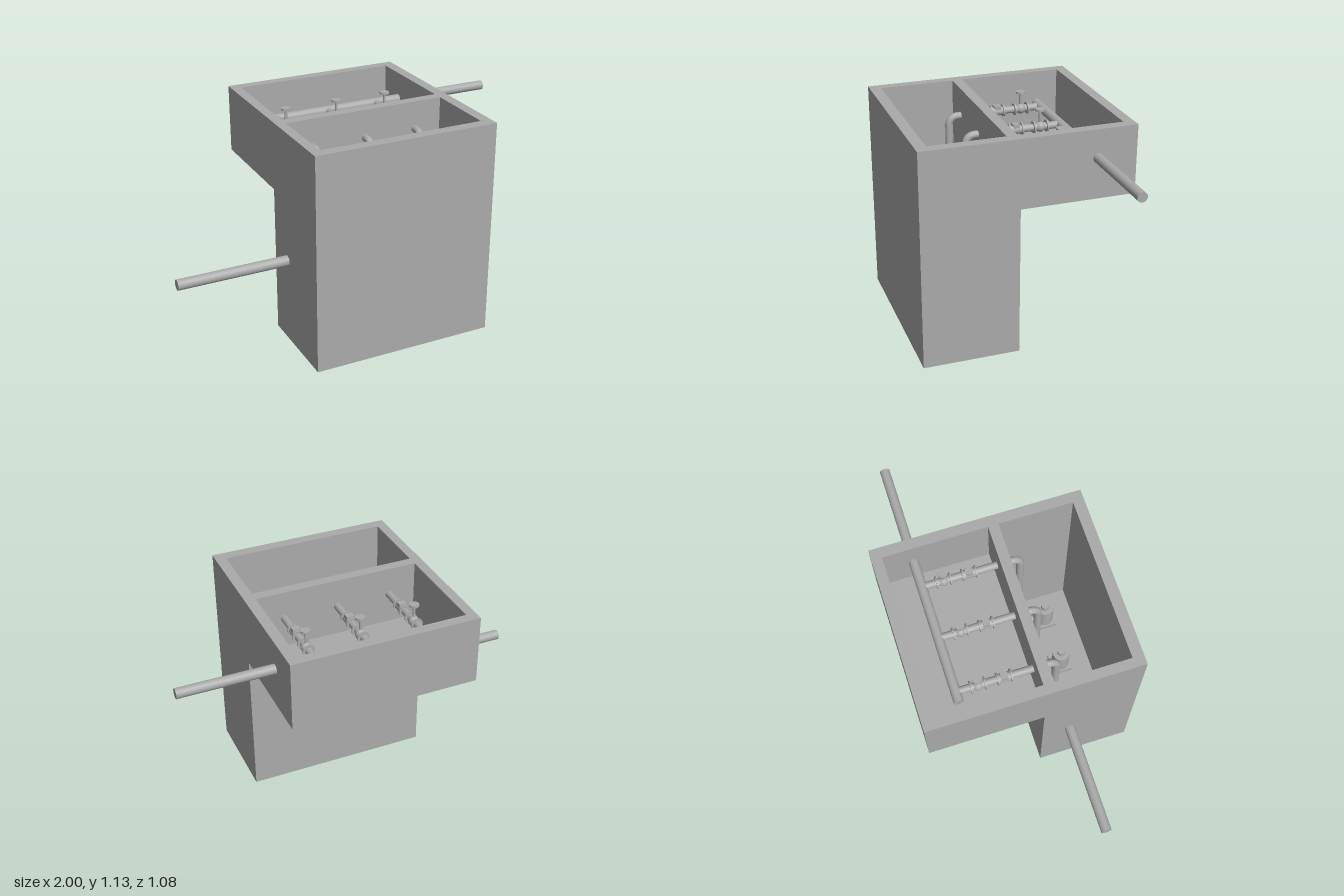
import * as THREE from 'three';

export function createModel() {
  const model = new THREE.Group();
  model.name = 'pumpingStation';
  const grey = new THREE.MeshStandardMaterial({ color: 0xaaaaaa });
  grey.name = 'concrete grey';

  const add = (parent, name, geometry) => {
    const mesh = new THREE.Mesh(geometry, grey);
    mesh.name = name;
    parent.add(mesh);
    return mesh;
  };
  // Box given by its lower and upper corners
  const block = (parent, name, a, b) => {
    const mesh = add(parent, name, new THREE.BoxGeometry(b[0] - a[0], b[1] - a[1], b[2] - a[2]));
    mesh.position.set((a[0] + b[0]) / 2, (a[1] + b[1]) / 2, (a[2] + b[2]) / 2);
  };
  // Round bar between two points
  const pipe = (parent, name, a, b, radius, sides = 24) => {
    const from = new THREE.Vector3(...a), to = new THREE.Vector3(...b);
    const axis = to.clone().sub(from);
    const mesh = add(parent, name, new THREE.CylinderGeometry(radius, radius, axis.length(), sides));
    mesh.position.copy(from).add(to).multiplyScalar(0.5);
    mesh.quaternion.setFromUnitVectors(new THREE.Vector3(0, 1, 0), axis.normalize());
  };

  // Concrete shell: deep wet well in front, shallow valve chamber behind
  const left = -0.43, right = 0.525, inL = -0.38, inR = 0.47;
  const top = 1.13, ledge = 0.775, floorTop = 0.825, zFront = 0.54, zBack = -0.54;
  const shell = new THREE.Group();
  shell.name = 'concreteShell';
  model.add(shell);
  const profile = [[zFront, 0], [zFront, top], [zBack, top], [zBack, ledge], [0.047, ledge], [0.047, 0]];
  const sideShape = new THREE.Shape(profile.map(([z, y]) => new THREE.Vector2(-z, y)));
  for (const [name, x, depth] of [['rightSideWall', left, inL - left], ['leftSideWall', inR, right - inR]]) {
    const wall = new THREE.ExtrudeGeometry(sideShape, { depth, bevelEnabled: false });
    add(shell, name, wall.rotateY(Math.PI / 2).translate(x, 0, 0));
  }
  block(shell, 'frontWall', [inL, 0, 0.483], [inR, top, zFront]);
  block(shell, 'dividingWall', [inL, 0, 0.047], [inR, top, 0.1]);
  block(shell, 'backWall', [inL, ledge, zBack], [inR, top, -0.487]);
  block(shell, 'wetWellFloor', [inL, 0, 0.1], [inR, 0.055, 0.483]);
  block(shell, 'valveChamberFloor', [inL, ledge, -0.487], [inR, floorTop, 0.047]);

  // Main pipes
  const mainY = 0.985, mainZ = -0.34;
  pipe(model, 'inletPipe', [-1, 0.45, 0.195], [-0.335, 0.45, 0.195], 0.027, 32);
  pipe(model, 'outletHeader', [-0.295, mainY, mainZ], [1, mainY, mainZ], 0.025, 32);

  // One pump line: pump, riser, check valve and gate valve
  const r = 0.019, bend = 0.045, riserZ = 0.165, outletY = 0.13;
  const elbow = (parent, name, y, z, turn) => {
    const g = new THREE.TorusGeometry(bend, r, 16, 12, Math.PI / 2);
    add(parent, name, g.rotateZ(turn).rotateY(-Math.PI / 2)).position.set(0, y, z);
  };
  for (const x of [-0.24, 0.045, 0.327]) {
    const line = new THREE.Group();
    line.name = 'pumpLine';
    line.position.x = x;
    model.add(line);

    // Submersible pump
    block(line, 'pumpBase', [-0.055, 0.055, 0.265], [0.055, 0.085, 0.375]);
    pipe(line, 'pumpBody', [0, 0.085, 0.32], [0, 0.24, 0.32], 0.047, 32);
    pipe(line, 'pumpCap', [0, 0.24, 0.32], [0, 0.27, 0.32], 0.022);

    // Discharge pipe
    pipe(line, 'pumpOutlet', [0, outletY, 0.32], [0, outletY, riserZ + bend], r);
    elbow(line, 'lowerElbow', outletY + bend, riserZ + bend, Math.PI);
    pipe(line, 'riser', [0, outletY + bend, riserZ], [0, mainY - bend, riserZ], r);
    elbow(line, 'upperElbow', mainY - bend, riserZ - bend, 0);
    pipe(line, 'branchPipe', [0, mainY, riserZ - bend], [0, mainY, mainZ], r);

    // Valve flanges
    for (const z of [-0.265, -0.195, -0.132, -0.065]) {
      pipe(line, 'flange', [0, mainY, z - 0.004], [0, mainY, z + 0.004], 0.031);
    }
    // Check valve
    pipe(line, 'checkValveBody', [0, mainY, -0.132], [0, mainY, -0.065], 0.023);
    block(line, 'checkValveCover', [-0.02, mainY, -0.116], [0.02, mainY + 0.03, -0.082]);
    // Gate valve with handwheel
    add(line, 'gateValveBody', new THREE.SphereGeometry(0.027, 20, 14)).position.set(0, mainY, -0.23);
    pipe(line, 'valveStem', [0, mainY, -0.23], [0, 1.075, -0.23], 0.007, 12);
    pipe(line, 'handwheel', [0, 1.07, -0.23], [0, 1.08, -0.23], 0.025);
  }
  return model;
}
